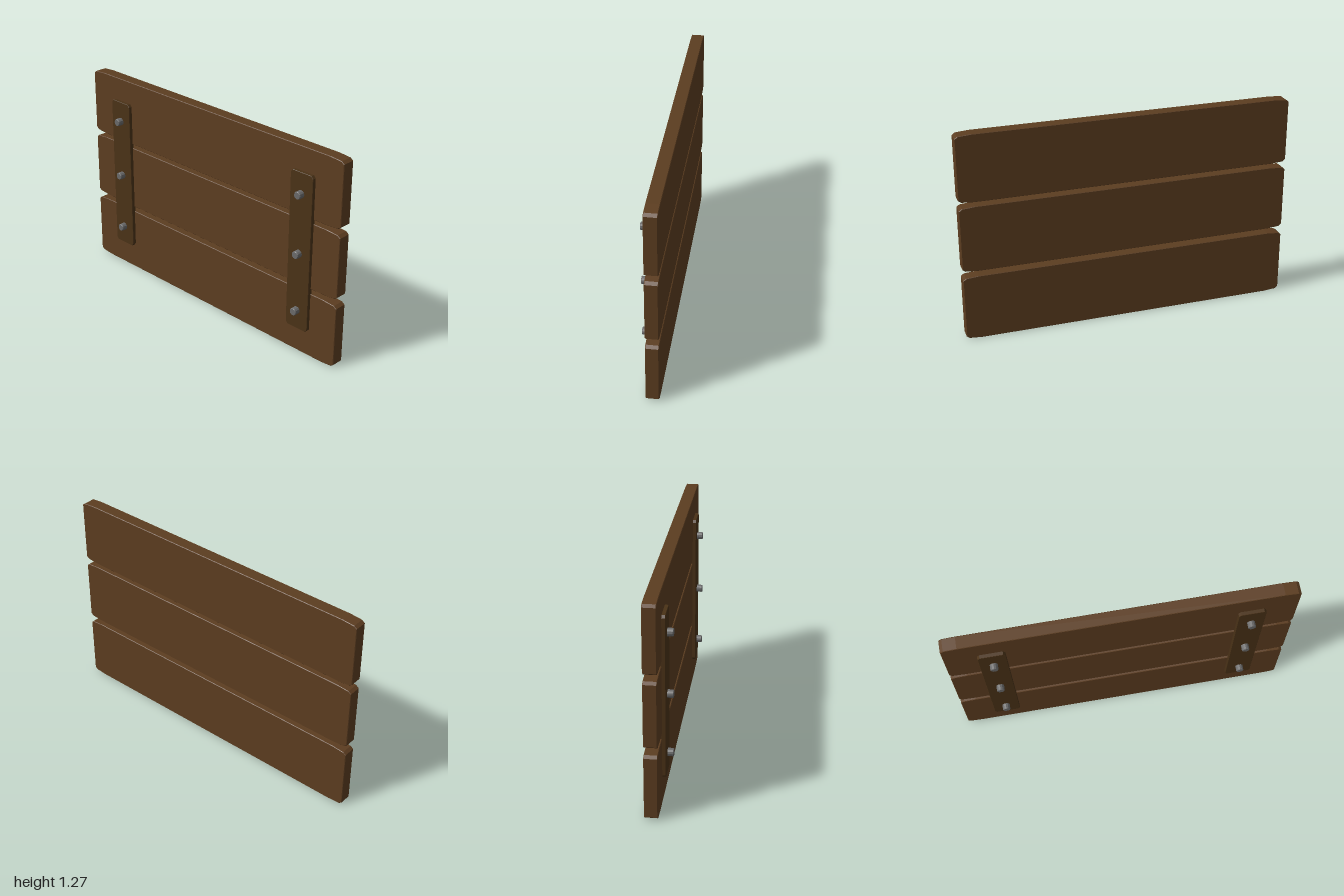
import * as THREE from 'three';

const wood = new THREE.MeshStandardMaterial({ color: 0x5c3d20, flatShading: true });
const darkWood = new THREE.MeshStandardMaterial({ color: 0x4a3217, flatShading: true });
const metal = new THREE.MeshStandardMaterial({ color: 0x6a6a6a, flatShading: true });

// Board in the z-y plane, centred on its own origin, with clipped corners and a fine bevel.
// corner lists [inset along z, inset along y] from the end face inward.
function board(length, height, thickness, corner, bevel) {
  const w = length / 2 - bevel, h = height / 2 - bevel;
  const q = corner.map(([a, b]) => [w - a, h - b]);
  const r = [...q].reverse();
  const outline = [
    ...q,
    ...r.map(([a, b]) => [-a, b]),
    ...q.map(([a, b]) => [-a, -b]),
    ...r.map(([a, b]) => [a, -b]),
  ];
  const shape = new THREE.Shape(outline.map(([a, b]) => new THREE.Vector2(a, b)));
  const depth = thickness - 2 * bevel;
  const geo = new THREE.ExtrudeGeometry(shape, {
    depth, bevelEnabled: true, bevelSize: bevel, bevelThickness: bevel, bevelSegments: 1,
  });
  geo.translate(0, 0, -depth / 2);
  geo.rotateY(Math.PI / 2);
  return geo;
}

export function createModel() {
  const group = new THREE.Group();
  const add = (name, geo, mat, x, y, z) => {
    const mesh = new THREE.Mesh(geo, mat);
    mesh.name = name;
    mesh.position.set(x, y, z);
    group.add(mesh);
  };

  // Three horizontal planks
  const plankGeo = board(2, 0.405, 0.076, [[0, 0.018], [0.016, 0.006], [0.09, 0]], 0.003);
  [0.2025, 0.64, 1.0715].forEach((y, i) => add('plank' + (i + 1), plankGeo, wood, 0.026, y, 0));

  // Upright battens joining the planks, each held by three bolts
  const battenGeo = board(0.158, 0.972, 0.03, [[0, 0.014], [0.012, 0]], 0.002);
  const boltGeo = new THREE.LatheGeometry(
    [[0, 0], [0.023, 0], [0.023, 0.036], [0.02, 0.04], [0, 0.04]].map(([a, b]) => new THREE.Vector2(a, b)), 12);
  boltGeo.rotateZ(Math.PI / 2);
  for (const side of [1, -1]) {
    const z = side * 0.736;
    add('batten', battenGeo, darkWood, -0.018, 0.646, z);
    for (const y of [0.279, 0.642, 1.006]) add('bolt', boltGeo, metal, -0.028, y, z);
  }
  return group;
}
